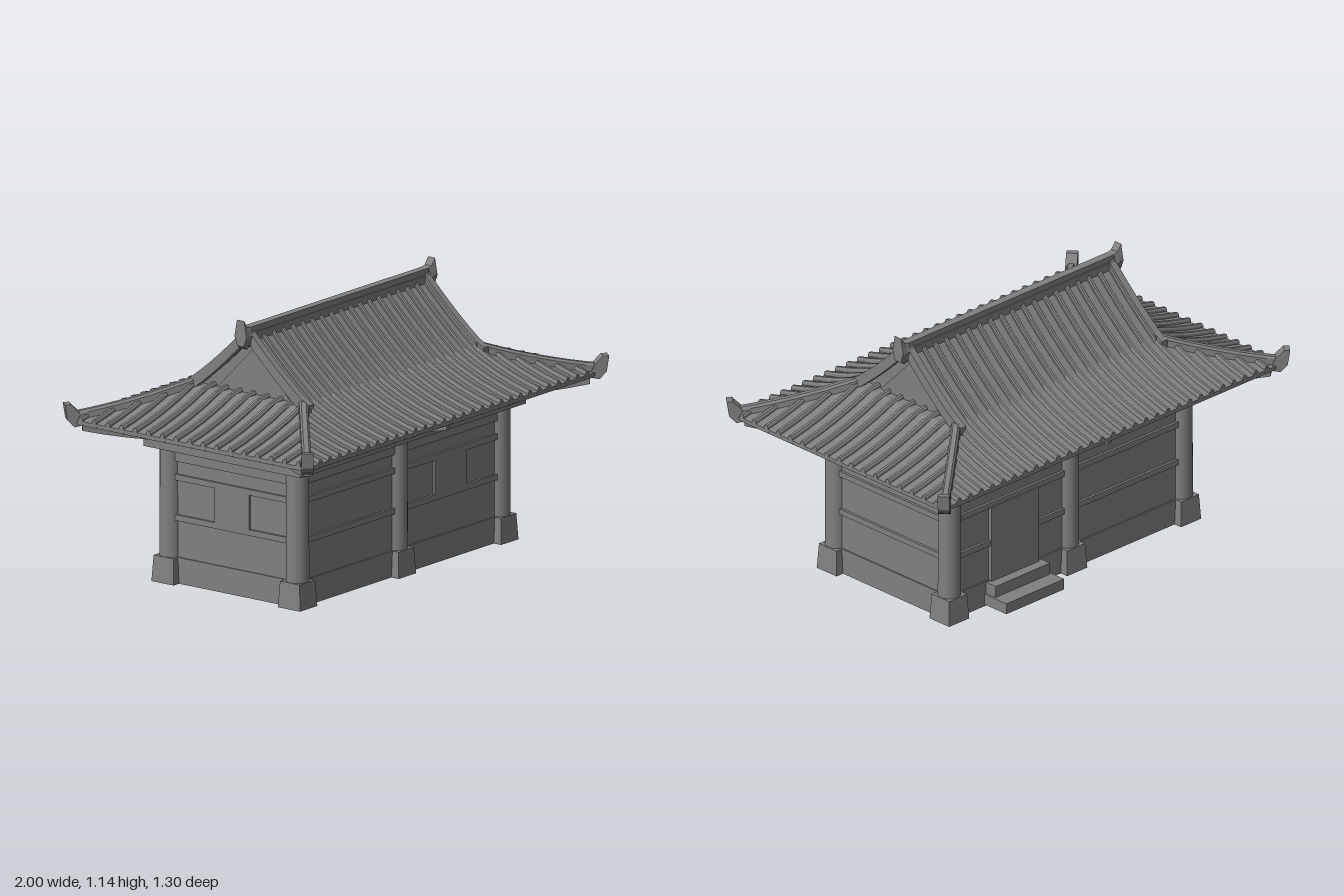
import * as THREE from 'three';

const color = 0x808080;
const smooth = new THREE.MeshStandardMaterial({ color, side: THREE.DoubleSide });
const flat = new THREE.MeshStandardMaterial({ color, flatShading: true, side: THREE.DoubleSide });

function add(parent, name, geometry, material = flat) {
  const mesh = new THREE.Mesh(geometry, material);
  mesh.name = name;
  parent.add(mesh);
  return mesh;
}

// box given by its min and max on each axis
function box(parent, name, x0, x1, y0, y1, z0, z1) {
  add(parent, name, new THREE.BoxGeometry(x1 - x0, y1 - y0, z1 - z0))
    .position.set((x0 + x1) / 2, (y0 + y1) / 2, (z0 + z1) / 2);
}

// flat outline given a thickness, centred on its plane
function plate(parent, name, outline, depth) {
  const shape = new THREE.Shape(outline.map(p => new THREE.Vector2(...p)));
  return add(parent, name, new THREE.ExtrudeGeometry(shape, { depth, bevelEnabled: false }).translate(0, 0, -depth / 2));
}

// upright cross-sections carried along a path; section(i) lists [sideways, up] counter-clockwise
function sweep(points, section) {
  const up = new THREE.Vector3(0, 1, 0);
  const dir = points[points.length - 1].clone().sub(points[0]).setY(0).normalize();
  const side = up.clone().cross(dir);
  const pos = [], idx = [];
  const n = section(0).length, last = (points.length - 1) * n;
  points.forEach((p, i) => {
    for (const [s, u] of section(i)) pos.push(p.x + side.x * s, p.y + u, p.z + side.z * s);
    if (i === 0) return;
    for (let j = 0; j < n; j++) {
      const a = (i - 1) * n + j, b = (i - 1) * n + (j + 1) % n;
      idx.push(a, b, b + n, a, b + n, a + n);
    }
  });
  for (let j = 1; j < n - 1; j++) idx.push(0, j + 1, j, last, last + j, last + j + 1);
  const g = new THREE.BufferGeometry();
  g.setAttribute('position', new THREE.Float32BufferAttribute(pos, 3));
  g.setIndex(idx);
  g.computeVertexNormals();
  return g;
}
const rect = (w, y0, y1) => [[-w, y0], [w, y0], [w, y1], [-w, y1]];
const V = (x, y, z) => new THREE.Vector3(x, y, z);
const range = (a, b, n) => Array.from({ length: n + 1 }, (_, i) => a + (b - a) * i / n);

// roof outline: the hips run from HX, HZ to the eave corners at EX, EZ
const HX = 0.58, HZ = 0.29, EX = 0.963, EZ = 0.612;
const skirt = t => 0.815 - 0.165 * t + 0.047 * t * t;
const slope = z => z < HZ ? 1.075 - 1.05 * z + 0.53 * z * z : skirt((z - HZ) / (EZ - HZ));
const spread = z => HX + (EX - HX) * Math.max(0, z - HZ) / (EZ - HZ);
const sideHeight = x => skirt(Math.max(0, (x - HX) / (EX - HX)));
const sideSpread = x => x <= HX ? HZ - 0.02 : HZ + (EZ - HZ) * (x - HX) / (EX - HX);
const tile = () => [[-0.012, -0.017], [0.012, -0.017], [0.011, 0.009], [0.006, 0.017], [-0.006, 0.017], [-0.011, 0.009]];

function buildRoof() {
  const roof = new THREE.Group();
  roof.name = 'roof';

  // front and back slopes with their tile ribs
  const half = [0, 0.07, 0.14, 0.22, HZ, 0.37, 0.45, 0.53, EZ];
  const zs = [...half.slice(1).reverse().map(z => -z), ...half];
  add(roof, 'mainSlopes', sweep(zs.map(z => V(0, slope(Math.abs(z)), z)), i => rect(spread(Math.abs(zs[i])), -0.013, 0)));
  for (const s of [1, -1]) for (let i = -15; i <= 15; i++) {
    const x = i * 0.0625, ax = Math.abs(x);
    const start = ax < HX ? 0.015 : HZ + (EZ - HZ) * (ax - HX) / (EX - HX);
    const path = range(start, EZ, ax < HX ? 9 : 4).map(z => V(x, slope(z), s * z));
    add(roof, 'mainTileRib', sweep(path, tile));
  }

  for (const s of [1, -1]) {
    // side skirt with its tile ribs
    const xs = [0.5, HX, 0.68, 0.78, 0.87, EX];
    add(roof, 'sideSlope', sweep(xs.map(x => V(s * x, sideHeight(x), 0)), i => rect(sideSpread(xs[i]), -0.013, 0)));
    for (let i = -8; i <= 8; i++) {
      const z = i * 0.0705, az = Math.abs(z);
      const start = az < HZ - 0.03 ? 0.53 : HX + (EX - HX) * Math.max(0, az - HZ) / (EZ - HZ);
      add(roof, 'sideTileRib', sweep(range(start, EX, 5).map(x => V(s * x, sideHeight(x), z)), tile));
    }

    // recessed gable wall with a raised triangle
    const edge = zs.filter(z => Math.abs(z) <= HZ).map(z => [z, slope(Math.abs(z)) - 0.01]);
    const wall = plate(roof, 'gableWall', edge, 0.02);
    const panel = plate(roof, 'gablePanel', [[-0.19, 0.815], [0.19, 0.815], [0, 1.01]], 0.012);
    wall.rotation.y = panel.rotation.y = Math.PI / 2;
    wall.position.x = s * 0.52;
    panel.position.x = s * 0.532;

    // flared end piece of the top ridge
    const ends = [[0.585, 1.11], [0.605, 1.115], [0.627, 1.145]];
    add(roof, 'ridgeEnd', sweep(ends.map(([x]) => V(s * x, 0, 0)), i => {
      const top = ends[i][1], low = 1.035 - 0.015 * (i === 1);
      return [[-0.017, low], [0.017, low], [0.031, 1.075], [0.018, top], [-0.018, top], [-0.031, 1.075]];
    }));

    for (const f of [1, -1]) {
      // descending verge ridge, hip ridge and upturned hip end
      const verge = range(0, 0.325, 7).map(z => V(s * 0.573, slope(z), f * z));
      add(roof, 'vergeRidge', sweep(verge, () => rect(0.016, -0.022, 0.034)));
      const hip = range(-0.04, 1, 8).map(t =>
        V(s * (HX + (EX - HX) * t), skirt(t), f * (HZ + (EZ - HZ) * t)));
      add(roof, 'hipRidge', sweep(hip, () =>
        [[-0.021, -0.02], [0.021, -0.02], [0.018, 0.022], [0.01, 0.032], [-0.01, 0.032], [-0.018, 0.022]]));
      const tip = plate(roof, 'hipEnd',
        [[0.005, 0.765], [-0.03, 0.73], [-0.055, 0.678], [-0.01, 0.668], [0.02, 0.7], [0.03, 0.765]], 0.048);
      tip.position.set(s * EX, 0, f * EZ);
      tip.rotation.y = Math.atan2(-f * (EZ - HZ), s * (EX - HX));
    }
    // eave boards
    box(roof, 'eaveBoard', -EX + 0.01, EX - 0.01, 0.678, 0.697, s * 0.6 - 0.009, s * 0.6 + 0.009);
    box(roof, 'sideEaveBoard', s * 0.951 - 0.009, s * 0.951 + 0.009, 0.678, 0.697, -EZ + 0.01, EZ - 0.01);
  }
  box(roof, 'topRidge', -0.6, 0.6, 1.03, 1.085, -0.024, 0.024);
  box(roof, 'topRidgeCap', -0.6, 0.6, 1.08, 1.11, -0.018, 0.018);
  return roof;
}

function buildBody() {
  const body = new THREE.Group();
  body.name = 'body';
  const front = 0.322, back = -0.333, rail = 0.025;
  const rails = [[0, 0.11, 0.02], [0.265, 0.29, rail], [0.435, 0.46, rail], [0.515, 0.572, rail]];
  // hollow tapered footing, square in plan
  const footing = new THREE.LatheGeometry(
    [[0.04, 0.11], [0.072, 0.11], [0.081, 0]].map(p => new THREE.Vector2(...p)), 4, Math.PI / 4);

  for (const s of [1, -1]) {
    const z = s > 0 ? front : back;
    // round columns on their footings
    for (const x of [-0.66, -0.012, 0.66]) {
      add(body, 'column', new THREE.CylinderGeometry(0.047, 0.048, 0.565, 20), smooth).position.set(x, 0.2925, z);
      add(body, 'columnFooting', footing).position.set(x, 0, z);
    }
    // long and short walls with horizontal rails
    box(body, 'longWall', -0.66, 0.66, 0.05, 0.572, z - 0.014, z + 0.014);
    box(body, 'endWall', s * 0.66 - 0.014, s * 0.66 + 0.014, 0.05, 0.572, back, front);
    for (const [y0, y1, d] of rails) {
      box(body, 'longRail', -0.66, 0.66, y0, y1, z - d, z + d);
      box(body, 'endRail', s * 0.66 - d, s * 0.66 + d, y0, y1, back, front);
    }
    // curved brackets at the corners and mid-wall
    for (const [x0, x1] of [[0.69, 0.925], [-0.69, -0.925], [-0.006, -0.006]]) {
      const lift = [0, 0.005, 0.015, 0.028, 0.045];
      const path = range(0, 1, 4).map((t, i) => V(x0 + (x1 - x0) * t, 0.605 + lift[i], s * (0.31 + 0.275 * t)));
      add(body, 'bracket', sweep(path, i => rect(x0 === x1 ? 0.011 : 0.02, 0, 0.04 - i * 0.002)));
    }
  }
  box(body, 'floor', -0.65, 0.65, 0.15, 0.17, back, front);
  box(body, 'topBeam', -0.743, 0.735, 0.572, 0.634, -0.411, 0.403);

  // shuttered windows, flush with the rails
  box(body, 'frontWindow', 0.21, 0.42, 0.29, 0.435, front, front + rail);
  box(body, 'endWindow', -0.66 - rail, -0.66, 0.29, 0.435, -0.09, 0.09);

  // back door and its two steps
  box(body, 'door', 0.18, 0.45, 0.1, 0.44, -0.364, -0.33);
  box(body, 'upperStep', 0.16, 0.47, 0.05, 0.105, -0.408, -0.33);
  box(body, 'lowerStep', 0.15, 0.48, 0.008, 0.055, -0.48, -0.33);
  return body;
}

export function createModel() {
  const model = new THREE.Group();
  model.name = 'pavilion';
  model.add(buildBody(), buildRoof());
  return model;
}
